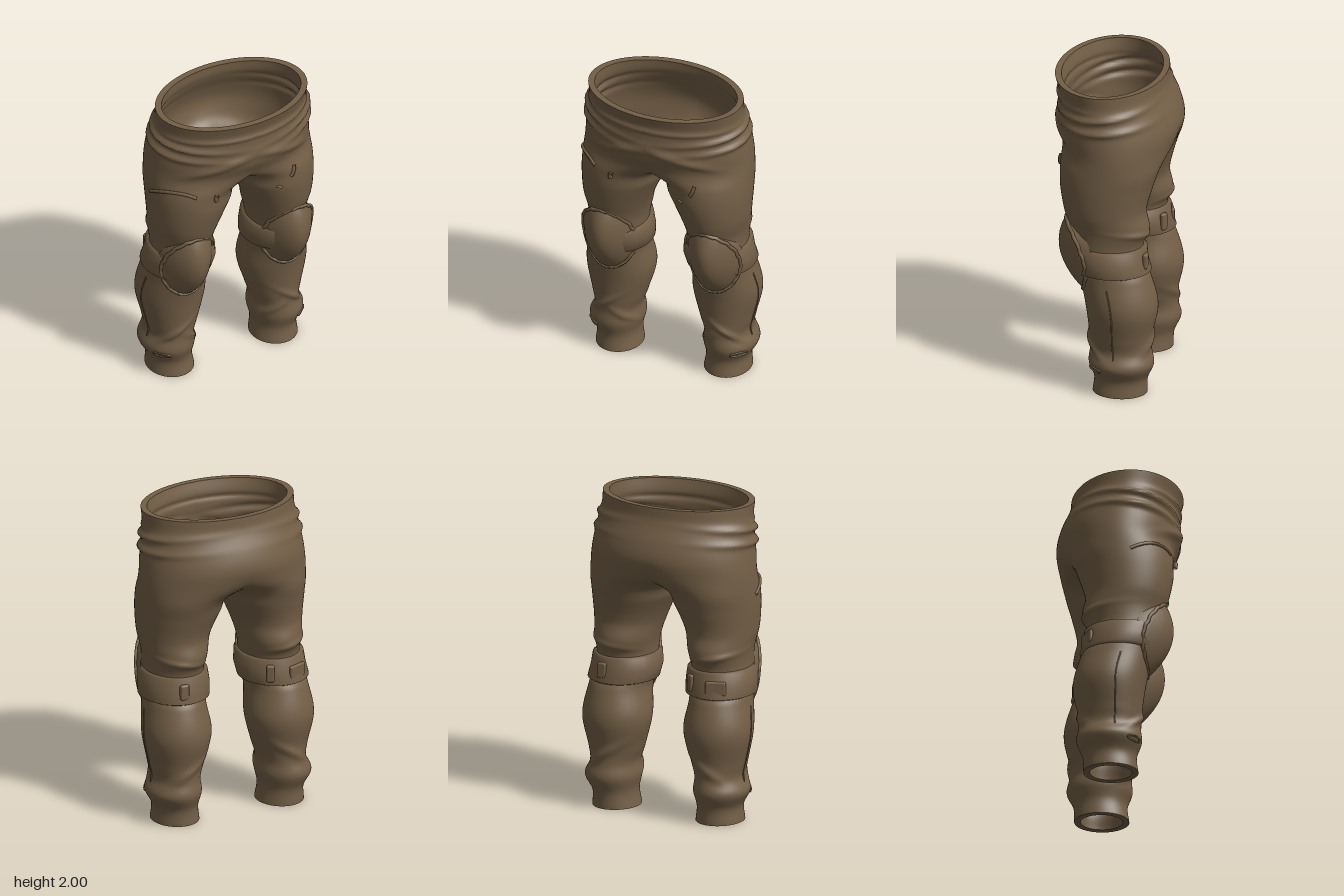
import * as THREE from 'three';
import { mergeVertices } from 'three/addons/utils/BufferGeometryUtils.js';
import { RoundedBoxGeometry } from 'three/addons/geometries/RoundedBoxGeometry.js';

const CROTCH = 1.47;
const WALL = 0.04;
const RING = Math.PI * 5 / 6;

// Cross-sections of one half: [y, outer x, inner x, front z, back z]
const SECTIONS = [
  [2, 0.5, -0.5, 0.39, -0.3], [1.92, 0.5, -0.5, 0.37, -0.31],
  [1.78, 0.52, -0.52, 0.37, -0.37], [1.68, 0.535, -0.5, 0.365, -0.39],
  [1.58, 0.545, -0.36, 0.325, -0.365], [1.47, 0.55, -0.04, 0.31, -0.315],
  [1.35, 0.55, 0.03, 0.305, -0.275], [1.2, 0.54, 0.1, 0.275, -0.24],
  [1.08, 0.52, 0.135, 0.24, -0.26], [0.98, 0.515, 0.15, 0.22, -0.225],
  [0.86, 0.53, 0.14, 0.195, -0.23], [0.77, 0.545, 0.16, 0.17, -0.275],
  [0.58, 0.57, 0.14, 0.13, -0.32], [0.38, 0.53, 0.19, 0.105, -0.285],
  [0.29, 0.515, 0.218, 0.1, -0.285], [0.2, 0.55, 0.21, 0.105, -0.3],
  [0.1, 0.505, 0.228, 0.075, -0.26], [0, 0.51, 0.215, 0.085, -0.255],
];

// Cloth folds: [y, slope over angle, thickness, height, centre angle, angular spread]
const FOLDS = [
  [1.845, -0.04, 0.018, 0.026, 0.2, 0.9], [1.765, -0.03, 0.02, 0.024, 0.2, 0.8],
  [1.89, 0, 0.015, 0.012, 1.2, 1], [1.7, 0.16, 0.035, 0.016, 1.2, 0.45],
  [1.06, 0.03, 0.018, 0.013, -1.3, 0.9], [0.34, 0.12, 0.025, 0.018, 1.2, 0.6],
  [0.27, -0.1, 0.02, 0.016, 2.2, 0.5], [0.36, -0.1, 0.03, 0.016, -1.6, 0.7],
];

function sectionAt(y) {
  const n = SECTIONS.length;
  let i = 0;
  while (i < n - 2 && y < SECTIONS[i + 1][0]) i++;
  const row = k => SECTIONS[THREE.MathUtils.clamp(k, 0, n - 1)];
  const [a, b, c, d] = [row(i - 1), row(i), row(i + 1), row(i + 2)];
  const h = c[0] - b[0], t = (y - b[0]) / h;
  return [1, 2, 3, 4].map(k => {
    const m0 = (c[k] - a[k]) / (c[0] - a[0]) * h, m1 = (d[k] - b[k]) / (d[0] - b[0]) * h;
    return b[k] * (2 * t ** 3 - 3 * t * t + 1) + c[k] * (3 * t * t - 2 * t ** 3)
      + m0 * (t ** 3 - 2 * t * t + t) + m1 * (t ** 3 - t * t);
  });
}

// Point on the cloth; angle 0 faces outwards, positive angles face the front
function clothPoint(y, angle, offset = 0) {
  const [xo, xi, zf, zb] = sectionAt(y);
  const wrapped = Math.atan2(Math.sin(angle), Math.cos(angle));
  let d = offset;
  for (const [fy, slope, thick, high, centre, spread] of FOLDS) {
    const da = wrapped - centre;
    d += high * Math.exp(-(((y - fy - slope * da) / thick) ** 2) - (da / spread) ** 2);
  }
  const x = (xo + xi) / 2 + ((xo - xi) / 2 + d) * Math.cos(angle);
  const z = (zf + zb) / 2 + ((zf - zb) / 2 + d) * Math.sin(angle);
  return new THREE.Vector3(Math.max(0, x), y, z);
}

const aboveLegs = y => y > CROTCH - 0.001;

// Open row from the front centre round the outside to the back centre
function halfRow(y, offset) {
  const [xo, xi] = sectionAt(y);
  const limit = Math.min(RING, Math.acos(Math.max(-1, -(xo + xi) / (xo - xi))));
  const row = steps(limit, -limit, 48).map(a => clothPoint(y, a, offset));
  if (aboveLegs(y)) row[0].x = row[48].x = 0;
  return row;
}

// Closed row round one leg
function ringRow(y, offset) {
  const row = halfRow(y, offset);
  const inner = steps(-RING, RING - Math.PI * 2, 14).slice(1, -1).map(a => clothPoint(y, a, offset));
  if (aboveLegs(y)) inner.forEach(p => { p.x = 0; });
  return [...row, ...inner, row[0].clone()];
}

// Joins rows of points into triangles
function skin(rows, out, flip) {
  for (let i = 0; i < rows.length - 1; i++) for (let j = 0; j < rows[i].length - 1; j++) {
    const a = rows[i][j], b = rows[i + 1][j], c = rows[i + 1][j + 1], d = rows[i][j + 1];
    for (const p of flip ? [a, c, b, a, d, c] : [a, b, c, a, c, d]) out.push(p.x, p.y, p.z);
  }
}

function toGeometry(points) {
  const g = new THREE.BufferGeometry();
  g.setAttribute('position', new THREE.Float32BufferAttribute(points, 3));
  const merged = mergeVertices(g, 1e-4);
  merged.computeVertexNormals();
  return merged;
}

const mirrorRows = rows => rows.map(r => r.map(p => new THREE.Vector3(-p.x, p.y, p.z)));
const steps = (from, to, n) => Array.from({ length: n + 1 }, (_, i) => from + (to - from) * i / n);

// Point on a knee pad; u runs from its middle to its rim
function padPoint(u, a) {
  const x = u * Math.cos(a), v = u * Math.sin(a);
  const z = 0.245 + 0.055 * v - 0.045 * v * v - 0.135 * x * x + 0.05 * (1 - u * u);
  return new THREE.Vector3(0.35 + 0.175 * x, 0.905 + 0.24 * v, z);
}

export function createModel() {
  const model = new THREE.Group();
  const cloth = new THREE.MeshStandardMaterial({ color: 0x735f46, side: THREE.DoubleSide });
  cloth.name = 'brown cloth';
  const add = (name, geometry, parent = model) => {
    const mesh = new THREE.Mesh(geometry, cloth);
    mesh.name = name;
    parent.add(mesh);
    return mesh;
  };

  // Outer cloth, lining and the edges joining them
  const shell = offset => [
    steps(2, CROTCH, 48).map(y => halfRow(y, offset)),
    steps(CROTCH, 0, 120).map(y => ringRow(y, offset)),
  ];
  const outer = shell(0), lining = shell(-WALL);
  const hems = [[lining[0][0], outer[0][0]], [outer[1].at(-1), lining[1].at(-1)]];
  const build = (parts, flip) => {
    const pts = [];
    for (const rows of parts) { skin(rows, pts, flip); skin(mirrorRows(rows), pts, !flip); }
    return toGeometry(pts);
  };
  add('trousers', build(outer, false));
  add('lining', build(lining, true));
  add('hems', build(hems, false));

  for (const side of [1, -1]) {
    const leg = new THREE.Group();
    leg.name = side > 0 ? 'leftLegDetails' : 'rightLegDetails';
    model.add(leg);
    const place = rows => side > 0 ? rows : mirrorRows(rows);
    const loft = (name, rows) => {
      const pts = [];
      skin(place(rows), pts, side < 0);
      return add(name, toGeometry(pts), leg);
    };
    const tube = (name, points, radius, closed = false) => {
      const path = new THREE.CatmullRomCurve3(place([points])[0], closed);
      return add(name, new THREE.TubeGeometry(path, closed ? 72 : 24, radius, 6, closed), leg);
    };
    const box = (name, size, pos, turn = 0) => {
      const mesh = add(name, new RoundedBoxGeometry(...size, 2, 0.012), leg);
      mesh.position.set(side * pos[0], pos[1], pos[2]);
      mesh.rotation.y = side * turn;
    };

    // Knee strap
    loft('kneeStrap', [[0.975, 0], [0.965, 0.024], [0.89, 0.026], [0.815, 0.024], [0.805, 0]]
      .map(([y, d]) => ringRow(y, d)));

    // Domed knee pad with a turned-back edge and a rolled rim
    const angles = steps(0, Math.PI * 2, 48);
    const pad = steps(0, 1, 12).map(u => angles.map(a => padPoint(u, a)));
    pad.push(angles.map(a => padPoint(1, a).add(new THREE.Vector3(0, 0, -0.07))));
    loft('kneePad', pad);
    tube('kneePadRim', angles.slice(0, -1).map((a, i) => padPoint(1 + 0.012 * Math.sin(i * 2.3), a)), 0.012, true);

    // Side seam on the calf
    tube('calfSeam', steps(0.74, 0.26, 8).map(y => clothPoint(y, 0.1)), 0.005);

    // Worn opening above the cuff
    const tear = steps(0, Math.PI * 2, 12).slice(0, -1)
      .map(a => clothPoint(0.178 + 0.014 * Math.sin(a), 0.85 + 0.3 * Math.cos(a), 0.003));
    tube('cuffTear', tear, 0.006, true);

    // Thigh creases and strap buckles differ from leg to leg
    if (side > 0) {
      tube('thighCrease', steps(1.45, 1.52, 3).map((y, i) => clothPoint(y, 1.55 - i * 0.1, 0.004)), 0.012);
      tube('smallCrease', steps(1.385, 1.375, 2).map((y, i) => clothPoint(y, 1.95 - i * 0.06, 0.002)), 0.008);
      box('strapBuckle', [0.06, 0.1, 0.03], [0.38, 0.89, -0.25]);
      box('innerTab', [0.11, 0.1, 0.08], [0.335, 0.89, -0.13]);
    } else {
      tube('thighCrease', steps(0, 1, 6).map(t => clothPoint(1.44 + 0.07 * Math.sin(t * 2.4), 0.05 + t * 1.08, 0.003)), 0.011);
      tube('smallCrease', steps(1.49, 1.45, 2).map((y, i) => clothPoint(y, 1.52 + i * 0.05, 0.012)), 0.014);
      box('strapBuckle', [0.05, 0.11, 0.03], [0.23, 0.89, -0.225], 0.5);
      box('strapEnd', [0.13, 0.09, 0.025], [0.41, 0.88, -0.235], -0.35);
    }
  }
  return model;
}
